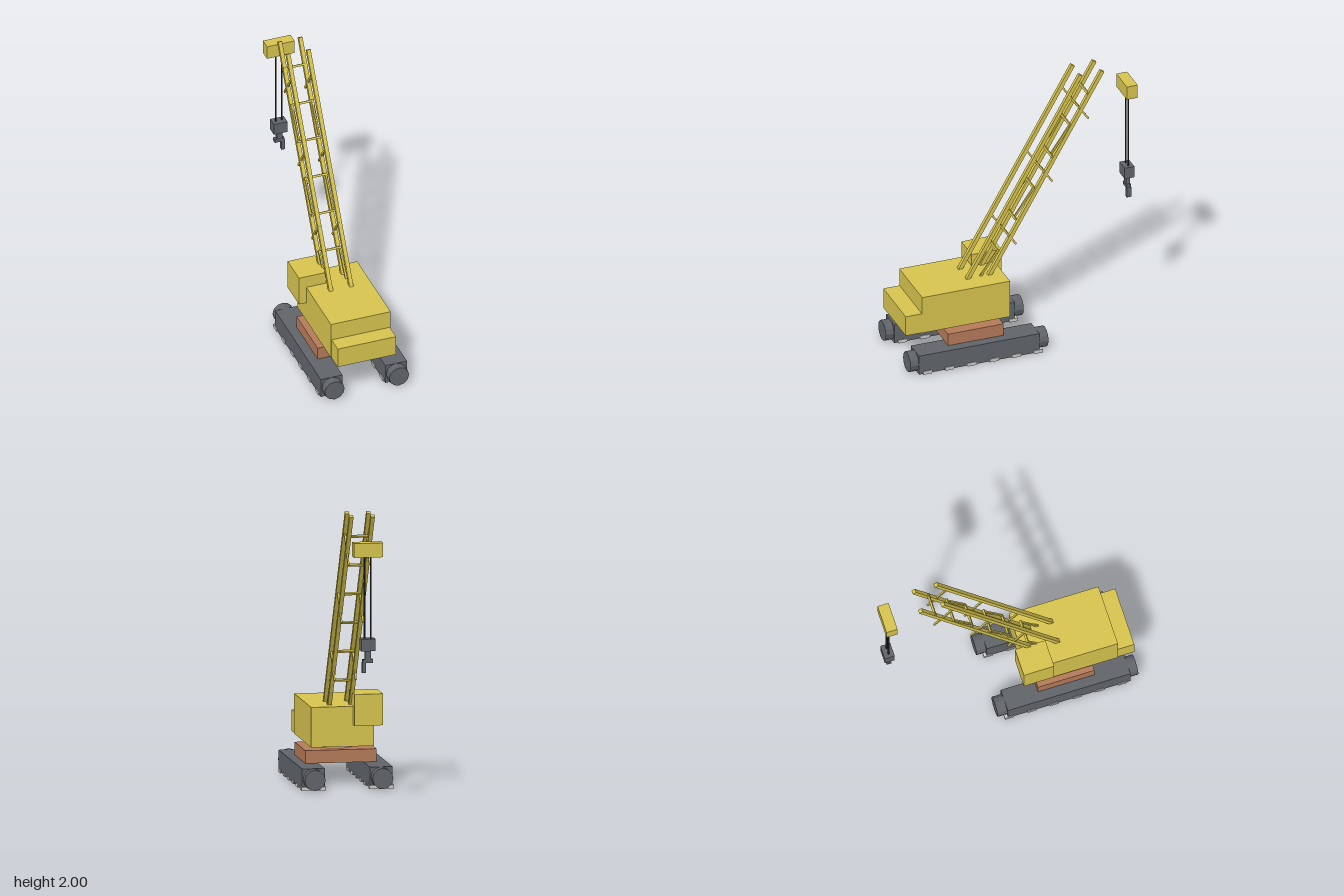
import * as THREE from 'three';

const mat = (color) => new THREE.MeshStandardMaterial({ color, flatShading: true });

export function createModel() {
  const model = new THREE.Group();
  model.name = 'crawlerCrane';
  const yellow = mat(0xd6c34e), dark = mat(0x606469), brown = mat(0xb47a58);
  const grey = mat(0xcccccc), black = mat(0x2a2c2e);

  const add = (name, geometry, material, x, y, z, rx = 0, parent = model) => {
    const mesh = new THREE.Mesh(geometry, material);
    mesh.name = name;
    mesh.position.set(x, y, z);
    mesh.rotation.x = rx;
    parent.add(mesh);
    return mesh;
  };
  // Box given by its extents on each axis
  const block = (name, material, x0, x1, y0, y1, z0, z1, parent = model) =>
    add(name, new THREE.BoxGeometry(x1 - x0, y1 - y0, z1 - z0), material,
      (x0 + x1) / 2, (y0 + y1) / 2, (z0 + z1) / 2, 0, parent);

  // Crawler tracks: beam, end drums and ground pads
  for (const side of [-1, 1]) {
    const track = new THREE.Group();
    track.name = side > 0 ? 'leftTrack' : 'rightTrack';
    track.position.x = side * 0.238;
    model.add(track);
    block('trackBeam', dark, -0.08, 0.08, 0.005, 0.15, -0.07, 0.82, track);
    for (const z of [-0.07, 0.81]) {
      add('trackDrum', new THREE.CylinderGeometry(0.073, 0.073, 0.14, 12), dark, 0, 0.077, z, Math.PI / 2, track);
    }
    for (let i = 0; i < 6; i++) {
      const z = 0.76 - i * 0.164;
      block('trackPad', grey, -0.086, 0.086, 0, 0.025, z - 0.032, z + 0.032, track);
    }
  }

  // Undercarriage, turntable and house
  block('carriage', brown, -0.25, 0.25, 0.15, 0.24, 0.17, 0.58);
  add('turntable', new THREE.CylinderGeometry(0.13, 0.13, 0.04, 16), grey, 0, 0.255, 0.375);
  block('house', yellow, -0.22, 0.22, 0.27, 0.55, 0.11, 0.76);
  block('counterweight', yellow, -0.215, 0.215, 0.27, 0.42, 0.74, 0.88);
  block('cab', yellow, -0.275, -0.075, 0.42, 0.64, 0.06, 0.28);

  // Lattice boom leaning back
  const boom = new THREE.Group();
  boom.name = 'boom';
  model.add(boom);
  const lean = Math.PI / 6;
  const railGeo = new THREE.BoxGeometry(0.028, 1.71, 0.028);
  for (const x of [-0.075, 0.075]) {
    for (const offset of [-0.08, 0.08]) {
      add('boomRail', railGeo, yellow, x, 1.252, -0.118 + offset, -lean, boom);
    }
  }
  const rungGeo = new THREE.BoxGeometry(0.17, 0.015, 0.015);
  const braceGeo = new THREE.BoxGeometry(0.012, 0.245, 0.014);
  for (let i = 0; i < 6; i++) {
    const y = 0.73 + i * 0.221, z = 0.15 - i * 0.134;
    add('boomRung', rungGeo, yellow, 0, y, z, -lean, boom);
    // Side braces alternate direction from bay to bay
    for (const x of [-0.075, 0.075]) {
      add('boomBrace', braceGeo, yellow, x, y - 0.1, z + 0.065, i % 2 ? 0.61 : -0.61, boom);
    }
  }

  // Head block, hoist cables and hook
  block('boomHead', yellow, -0.102, 0.102, 1.74, 1.84, -0.88, -0.8);
  for (const x of [-0.022, 0.022]) {
    add('hoistCable', new THREE.CylinderGeometry(0.006, 0.006, 0.6, 8), black, x, 1.45, -0.84);
  }
  block('hookBlock', dark, -0.05, 0.05, 1.085, 1.17, -0.876, -0.804);
  block('hookShank', dark, -0.02, 0.02, 1.02, 1.09, -0.855, -0.825);
  block('hookBar', dark, -0.036, 0.036, 1.0, 1.025, -0.857, -0.823);
  block('hookTip', dark, 0.014, 0.04, 0.93, 1.005, -0.857, -0.823);

  return model;
}
